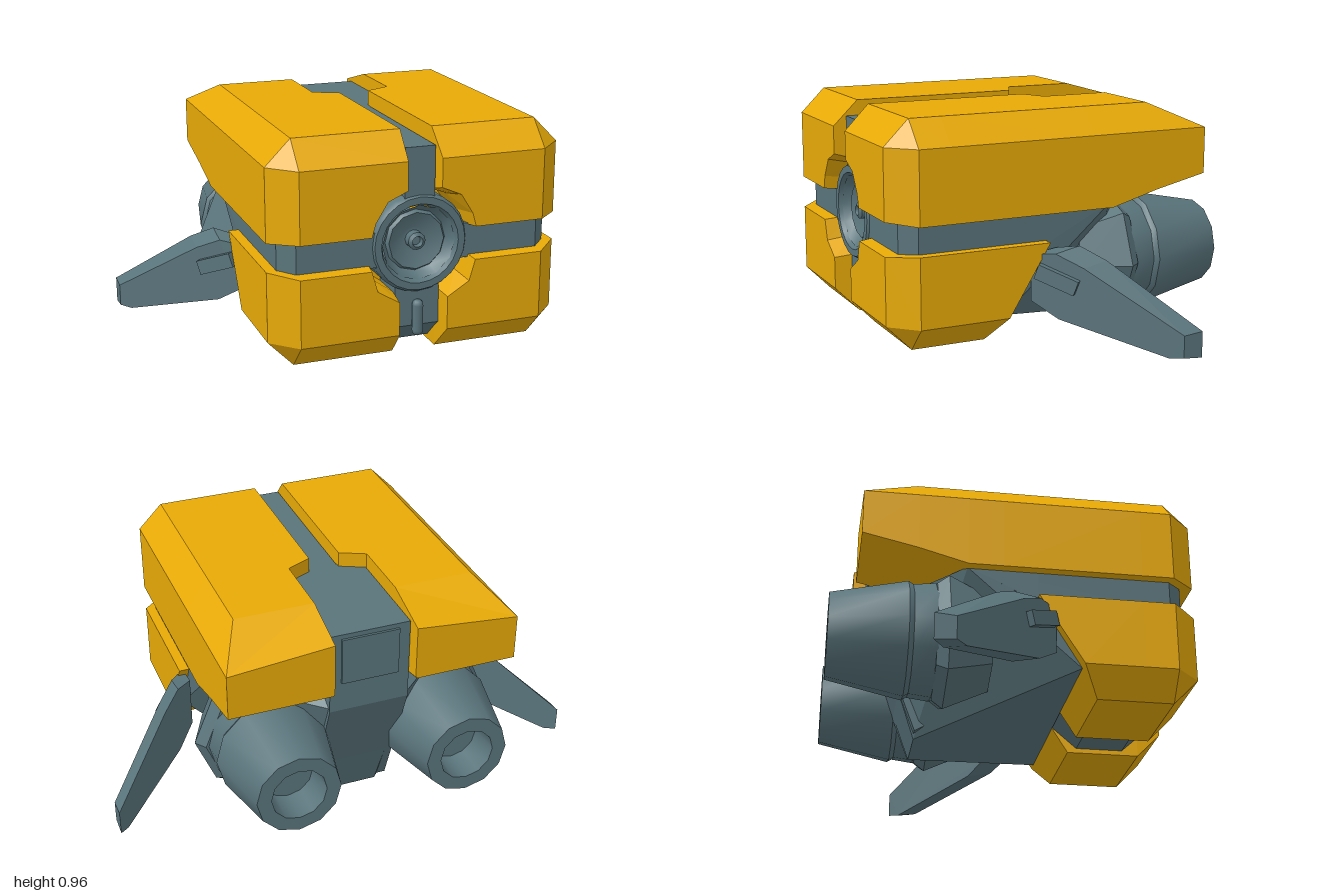
import * as THREE from 'three';
import { toCreasedNormals } from 'three/addons/utils/BufferGeometryUtils.js';
import { ConvexGeometry } from 'three/addons/geometries/ConvexGeometry.js';

// Skin a row of equal-length outlines, ordered front to back, with flat faces and end caps.
function loft(sections) {
  const out = [];
  const tri = (a, b, c) => out.push(...a, ...b, ...c);
  for (let s = 0; s < sections.length - 1; s++) {
    const f = sections[s], r = sections[s + 1];
    for (let i = 0; i < f.length; i++) {
      const j = (i + 1) % f.length;
      tri(f[i], r[i], f[j]);
      tri(f[j], r[i], r[j]);
    }
  }
  const cap = (sec, flip) => {
    const flat = sec.map(p => new THREE.Vector2(p[0], p[1]));
    for (const [a, b, c] of THREE.ShapeUtils.triangulateShape(flat, [])) {
      if (flip) tri(sec[c], sec[b], sec[a]);
      else tri(sec[a], sec[b], sec[c]);
    }
  };
  cap(sections[0], false);
  cap(sections[sections.length - 1], true);
  const geo = new THREE.BufferGeometry();
  geo.setAttribute('position', new THREE.Float32BufferAttribute(out, 3));
  geo.computeVertexNormals();
  return geo;
}

// Mirror an unindexed geometry across x = 0, keeping its faces outward.
function mirrored(source) {
  const geo = source.clone();
  const p = geo.attributes.position;
  const v = [0, 1, 2].map(() => new THREE.Vector3());
  for (let i = 0; i < p.count; i += 3) {
    v.forEach((q, k) => q.fromBufferAttribute(p, i + k));
    [v[0], v[2], v[1]].forEach((q, k) => p.setXYZ(i + k, -q.x, q.y, q.z));
  }
  geo.computeVertexNormals();
  return geo;
}

const shapeOf = pts => new THREE.Shape(pts.map(p => new THREE.Vector2(...p)));
const extrude = (pts, depth) => new THREE.ExtrudeGeometry(shapeOf(pts), { depth, bevelEnabled: false });

// Revolve [radius, z] points about the z axis.
function turned(profile, sides) {
  const geo = new THREE.LatheGeometry(profile.map(p => new THREE.Vector2(...p)), sides);
  return toCreasedNormals(geo.rotateX(Math.PI / 2), 0.6);
}

// Extrude a [z, y] outline across x, centred.
function slab(outline, width) {
  return extrude(outline.map(([z, y]) => [-z, y]), width).translate(0, 0, -width / 2).rotateY(Math.PI / 2);
}

// Upper shell outline: inner wall, round socket, outer side, shoulder, top.
function upperSection(z, { inner = 0.065, top = 0.963, bottom = 0.565, out = 0.602, topOut = 0.5, topOutY = top, socket }) {
  const notch = socket || [[inner, bottom + 0.02], [inner, bottom + 0.01], [inner + 0.005, bottom], [inner + 0.01, bottom]];
  return [[inner, top], ...notch, [out, bottom], [out, 0.86], [topOut, topOutY]].map(p => [...p, z]);
}

function upperShell() {
  const wide = [[0.07, 0.745], [0.15, 0.71], [0.2, 0.63], [0.215, 0.575]];
  const tight = [[0.065, 0.715], [0.13, 0.69], [0.18, 0.62], [0.195, 0.565]];
  return loft([
    upperSection(0.733, { inner: 0.07, top: 0.86, bottom: 0.575, out: 0.5, socket: wide }),
    upperSection(0.63, { socket: tight }),
    upperSection(0.5, { socket: tight }),
    upperSection(0.5, {}),
    upperSection(-0.06, {}),
    upperSection(-0.11, { inner: 0.17 }),
    upperSection(-0.2, { inner: 0.17 }),
    upperSection(-0.4, { inner: 0.17, bottom: 0.62 }),
    upperSection(-0.623, { inner: 0.17, top: 0.9, bottom: 0.67, topOut: 0.602, topOutY: 0.86 }),
  ]);
}

function lowerShell() {
  const body = [[0.09, 0.06], [0.5, 0.06], [0.602, 0.165], [0.602, 0.45]];
  const socket = [[0.2, 0.45], [0.175, 0.37], [0.09, 0.31]];
  const plain = [[0.11, 0.45], [0.1, 0.45], [0.09, 0.43]];
  const front = [[0.215, 0.44], [0.19, 0.355], [0.1, 0.3], [0.1, 0.165], [0.5, 0.165], [0.5, 0.165], [0.5, 0.44]];
  const at = (pts, z) => pts.map(p => [...p, z]);
  return loft([
    at(front, 0.733),
    at([...socket, ...body], 0.63),
    at([...socket, ...body], 0.5),
    at([...plain, ...body], 0.5),
    [...plain, ...body].map(([x, y]) => [x, y, 0.08 + (0.45 - y) * 0.62]), // raked rear
  ]);
}

// Swept, drooping fin: flat outline sheared backwards along its span, front face slightly smaller.
function wing() {
  const geo = extrude([[0.57, 0.2], [0.65, 0.13], [0.96, 0.025], [1, 0.035], [1, 0.14], [0.72, 0.385],
    [0.64, 0.435], [0.57, 0.42]], 1);
  const p = geo.attributes.position;
  for (let i = 0; i < p.count; i++) {
    const x = p.getX(i), y = p.getY(i), t = p.getZ(i);
    const thick = 0.11 - (x - 0.6) * 0.07;
    const middle = 0.3 - (x - 0.6) * 0.53;
    p.setY(i, y + (middle - y) * 0.14 * t);
    p.setZ(i, 0.065 - (x - 0.6) * 0.99 + (t - 0.5) * thick);
  }
  geo.computeVertexNormals();
  return geo;
}

export function createModel() {
  const model = new THREE.Group();
  const yellow = new THREE.MeshStandardMaterial({ color: 0xe8aa06 });
  yellow.name = 'yellow shell';
  const grey = new THREE.MeshStandardMaterial({ color: 0x59747b });
  grey.name = 'blue grey metal';
  const add = (name, geo, mat = grey, x = 0, y = 0, z = 0) => {
    const mesh = new THREE.Mesh(geo, mat);
    mesh.name = name;
    mesh.position.set(x, y, z);
    model.add(mesh);
    return mesh;
  };
  const pair = (name, geo, mat) => {
    add('left' + name, geo, mat);
    add('right' + name, mirrored(geo), mat);
  };

  // Armour shells
  pair('UpperShell', upperShell(), yellow);
  pair('LowerShell', lowerShell(), yellow);

  // Core band between the shells, with cut front corners and a recess behind the eye
  const band = extrude([[-0.56, -0.2], [0.56, -0.2], [0.56, 0.62], [0.5, 0.68], [0.17, 0.68], [0.17, 0.5],
    [-0.17, 0.5], [-0.17, 0.68], [-0.5, 0.68], [-0.56, 0.62]], 0.14);
  // Slope the underside of the band up towards the back
  const bp = band.rotateX(Math.PI / 2).translate(0, 0.575, 0).attributes.position;
  for (let i = 0; i < bp.count; i++) {
    if (bp.getZ(i) < 0 && bp.getY(i) < 0.5) bp.setZ(i, 0.08);
  }
  band.computeVertexNormals();
  add('coreBand', band);

  // Spine, rear pillar and front keel
  add('spine', new THREE.BoxGeometry(0.124, 0.22, 0.78), grey, 0, 0.79, 0.29);
  add('rearPillar', slab([[-0.04, 0.9], [-0.04, 0.2], [-0.36, 0.02], [-0.56, 0.55], [-0.56, 0.9]], 0.335));
  add('rearPlate', new THREE.BoxGeometry(0.24, 0.2, 0.02), grey, 0, 0.78, -0.56);
  add('keel', slab([[0.66, 0.34], [0.66, 0.17], [0.56, 0.08], [0.36, 0.08], [0.22, 0.2], [0.22, 0.34]], 0.185));

  // Tapered rear hull
  const hull = [];
  for (const s of [-1, 1]) {
    for (const [x, y, z] of [[0.55, 0.165, 0.255], [0.56, 0.445, 0.085], [0.56, 0.57, 0.085], [0.56, 0.57, -0.2],
      [0.17, 0.63, -0.42], [0.165, 0.56, -0.55], [0.12, 0, -0.36]]) {
      hull.push(new THREE.Vector3(s * x, y, z));
    }
  }
  add('rearHull', new ConvexGeometry(hull));

  // Front eye socket and latch
  add('eyeRing', turned([[0.2, 0.48], [0.2, 0.67], [0.188, 0.69], [0.16, 0.69], [0.145, 0.655]], 24), grey, 0, 0.515, 0);
  add('eyeDish', turned([[0.152, 0.675], [0.125, 0.635], [0.115, 0.65], [0.05, 0.62], [0.036, 0.62], [0.036, 0.655],
    [0.022, 0.665], [0.018, 0.645], [0, 0.645]], 12), grey, 0, 0.515, 0);
  add('latch', new THREE.CapsuleGeometry(0.023, 0.105, 4, 10), grey, 0, 0.205, 0.67);

  // Engines: faceted housing, barrel and hollow nozzle
  const housing = turned([[0, -0.31], [0.25, -0.315], [0.285, -0.27], [0.2, -0.09], [0, -0.09]], 8);
  const nozzle = turned([[0, -0.6], [0.105, -0.6], [0.115, -0.735], [0.175, -0.735], [0.24, -0.425], [0.228, -0.405],
    [0.238, -0.32], [0.238, -0.29], [0, -0.29]], 12);
  for (const [side, s] of [['left', 1], ['right', -1]]) {
    add(side + 'EngineHousing', housing, grey, s * 0.36, 0.325, 0);
    add(side + 'EngineNozzle', nozzle, grey, s * 0.36, 0.325, 0);
    // Clamp on the wing root
    const clamp = add(side + 'WingClamp', new THREE.BoxGeometry(0.08, 0.06, 0.17), grey, s * 0.64, 0.315, 0.065);
    clamp.rotation.set(-0.35, -s * 0.75, 0, 'YXZ');
  }

  pair('Wing', wing(), grey);
  return model;
}
